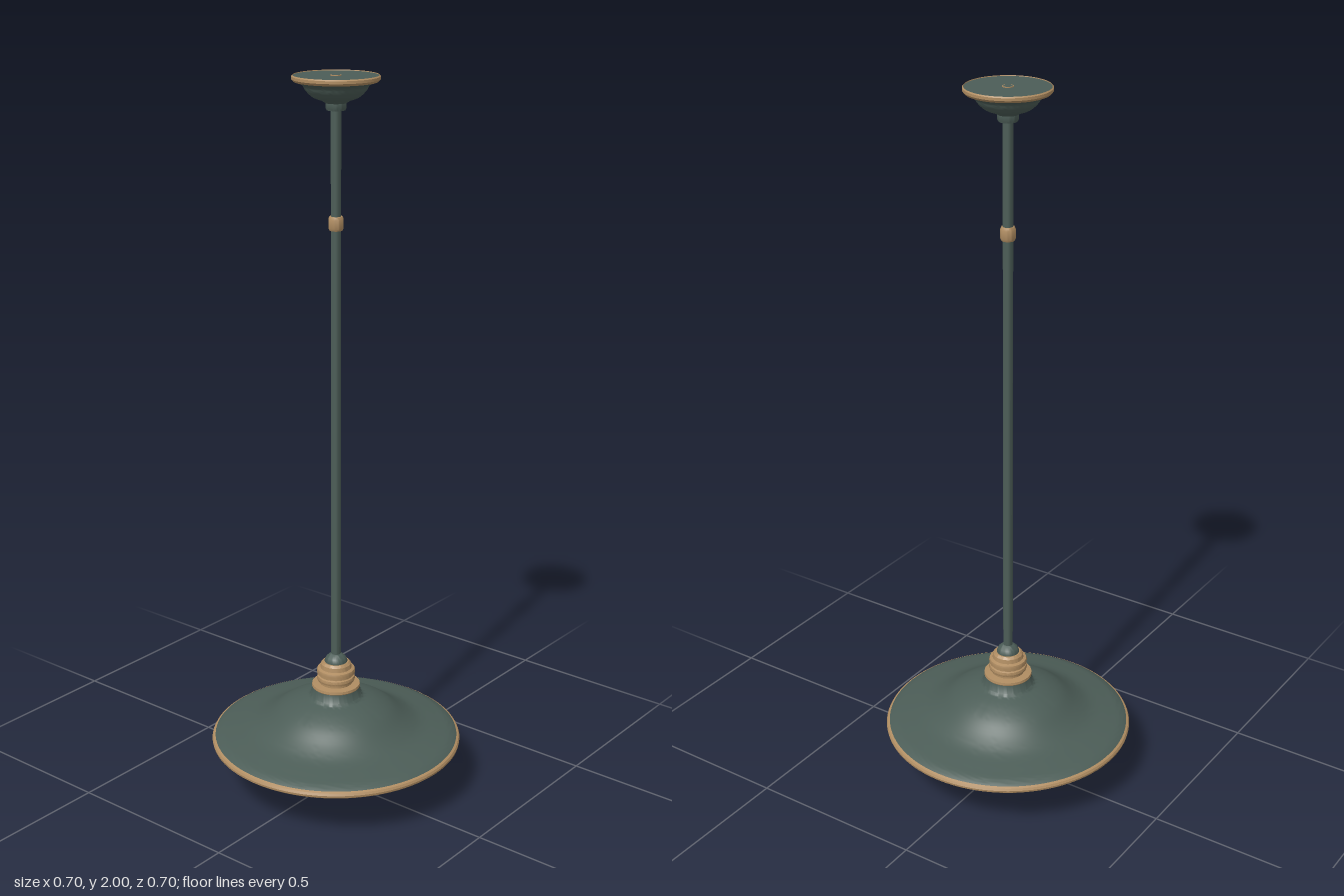
import * as THREE from 'three';
import { toCreasedNormals } from 'three/addons/utils/BufferGeometryUtils.js';

const mat = (name, color) => {
  const m = new THREE.MeshStandardMaterial({ color });
  m.name = name;
  return m;
};

export function createModel() {
  const green = mat('dark green enamel', 0x4c5d57);
  const brass = mat('aged brass', 0xb08d62);
  const glass = mat('cream glass', 0xcbbb9b);
  const group = new THREE.Group();

  // Turned part from [radius, height] pairs; outer walls run upwards
  const turned = (name, material, pairs, segments = 64) => {
    const pts = pairs.map(([r, y]) => new THREE.Vector2(r, y));
    const geo = toCreasedNormals(new THREE.LatheGeometry(pts, segments), 0.6);
    const mesh = new THREE.Mesh(geo, material);
    mesh.name = name;
    group.add(mesh);
    return mesh;
  };
  // Smooth curve through a few profile points
  const smooth = (pairs, n) => new THREE.SplineCurve(pairs.map(p => new THREE.Vector2(...p)))
    .getPoints(n).map(p => [p.x, p.y]);

  // Ceiling canopy with brass edge
  turned('canopy', green, [
    [0, 1.912], [0.024, 1.912], [0.027, 1.918], [0.027, 1.93], [0.034, 1.934],
    ...smooth([[0.036, 1.936], [0.06, 1.945], [0.078, 1.962], [0.086, 1.975], [0.106, 1.984]], 16),
    [0.11, 1.998], [0, 1.998],
  ]);
  turned('canopyRim', brass, [
    [0.1, 1.984], [0.108, 1.984], [0.113, 1.99], [0.113, 1.997], [0.11, 2], [0.109, 1.996],
  ]);

  // Hanging rod, its end at the ceiling and the joint collar
  turned('rod', green, [[0, 0.38], [0.0135, 0.38], [0.0135, 1.9985], [0, 1.9985]], 24);
  turned('rodEndRing', brass, [[0.0125, 1.99], [0.0145, 1.99], [0.0145, 2], [0.0125, 2]], 24);
  turned('rodCollar', brass, [
    [0.013, 1.604], [0.017, 1.604], [0.02, 1.61], [0.02, 1.634], [0.017, 1.641], [0.013, 1.641],
  ], 32);

  // Stepped lamp socket
  turned('socketCap', green, [
    [0.032, 0.372], [0.032, 0.38], [0.027, 0.391], [0.018, 0.399], [0.013, 0.402],
  ], 32);
  turned('socket', brass, [
    [0.066, 0.3], [0.068, 0.304], [0.067, 0.311], [0.046, 0.313], [0.046, 0.32],
    [0.052, 0.322], [0.054, 0.328], [0.052, 0.335], [0.048, 0.337], [0.048, 0.341],
    [0.053, 0.343], [0.054, 0.35], [0.052, 0.357], [0.044, 0.36], [0.042, 0.372],
    [0.036, 0.378], [0, 0.378],
  ]);

  // Flared shade, double walled
  const flare = smooth([
    [0.345, 0.156], [0.325, 0.166], [0.29, 0.174], [0.24, 0.186], [0.2, 0.207],
    [0.155, 0.24], [0.115, 0.26], [0.078, 0.272],
  ], 36);
  turned('shade', green, [
    [0, 0.295], [0.06, 0.295],
    ...flare.map(([r, y]) => [r - 0.004, y - 0.008]).reverse(),
    ...flare,
    [0.072, 0.278], [0.067, 0.302], [0.062, 0.306], [0, 0.306],
  ], 96);
  turned('shadeRim', brass, [
    [0.337, 0.147], [0.339, 0.14], [0.346, 0.139], [0.351, 0.143], [0.352, 0.149],
    [0.349, 0.155], [0.343, 0.158],
  ], 96);

  // Glass bowl with a stepped bottom and small nub
  turned('glassBowl', glass, [
    [0, 0], [0.012, 0.001], [0.02, 0.005], [0.034, 0.006], [0.04, 0.009], [0.058, 0.011],
    ...smooth([[0.064, 0.014], [0.12, 0.027], [0.175, 0.053], [0.215, 0.086],
      [0.237, 0.118], [0.244, 0.145], [0.242, 0.172]], 28),
    [0, 0.172],
  ], 96);

  // Four clips holding the bowl
  for (let i = 0; i < 4; i++) {
    const a = Math.PI / 4 + i * Math.PI / 2;
    const clip = new THREE.Group();
    clip.name = 'glassClip';
    const tab = new THREE.Mesh(new THREE.BoxGeometry(0.016, 0.035, 0.01), brass);
    tab.position.set(0, 0.158, 0.25);
    const screw = new THREE.Mesh(new THREE.SphereGeometry(0.008, 12, 8), brass);
    screw.position.set(0, 0.15, 0.257);
    clip.add(tab, screw);
    clip.rotation.y = a;
    group.add(clip);
  }
  return group;
}
